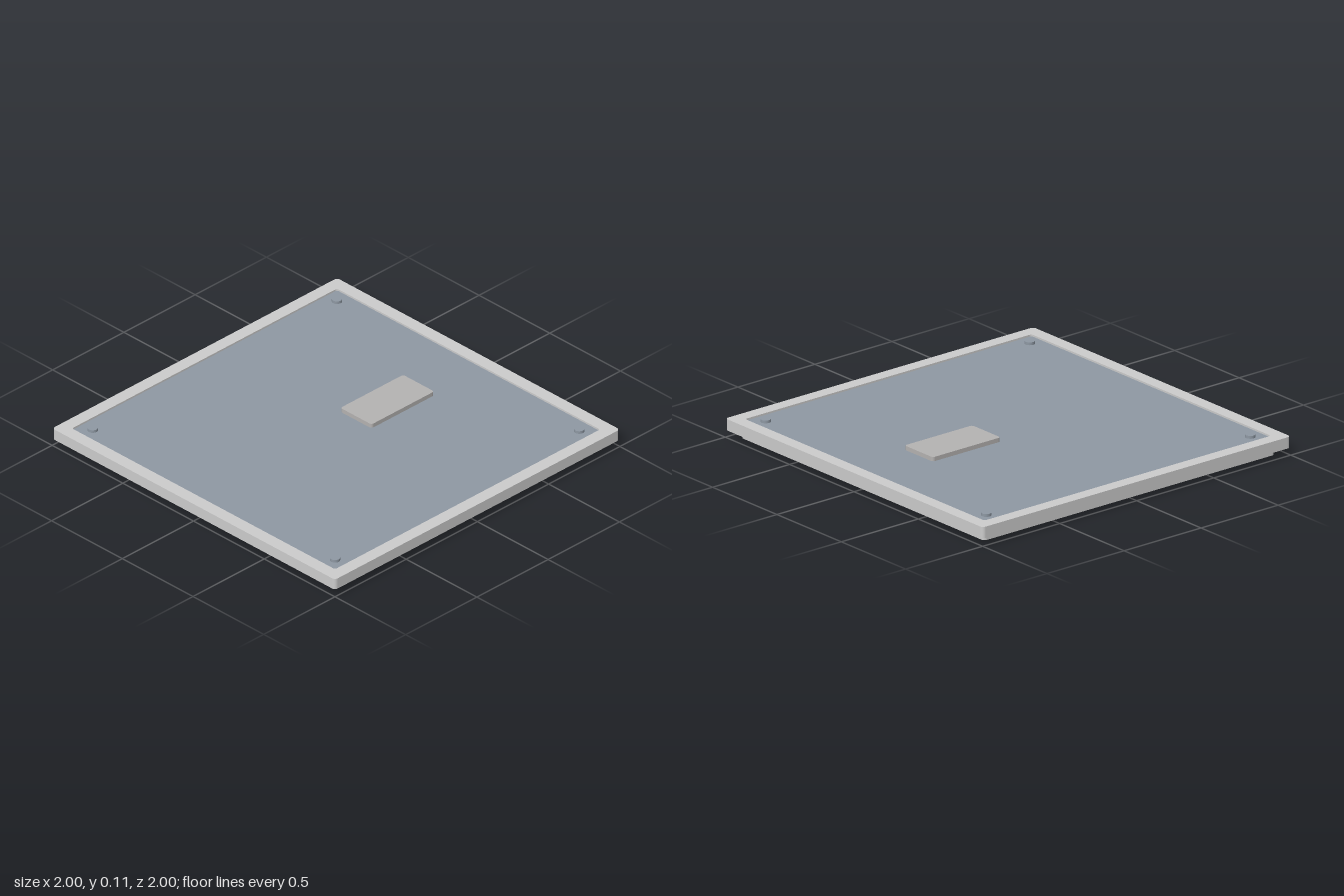
import * as THREE from 'three';

// Rounded rectangle outline centred on (cx, cy)
function roundedRect(target, w, d, r, cx = 0, cy = 0) {
  const x = w / 2 - r, y = d / 2 - r;
  target.absarc(cx + x, cy + y, r, 0, Math.PI / 2);
  target.absarc(cx - x, cy + y, r, Math.PI / 2, Math.PI);
  target.absarc(cx - x, cy - y, r, Math.PI, Math.PI * 1.5);
  target.absarc(cx + x, cy - y, r, Math.PI * 1.5, Math.PI * 2);
  target.closePath();
  return target;
}

// Horizontal slab between two heights, with optional holes
function slab(name, shape, y0, y1, material, holes = []) {
  shape.holes.push(...holes);
  const geometry = new THREE.ExtrudeGeometry(shape, { depth: y1 - y0, bevelEnabled: false, curveSegments: 6 });
  geometry.rotateX(-Math.PI / 2);
  geometry.translate(0, y0, 0);
  const mesh = new THREE.Mesh(geometry, material);
  mesh.name = name;
  return mesh;
}

const rect = (w, d, r, cx, cy) => roundedRect(new THREE.Shape(), w, d, r, cx, cy);
const hole = (w, d, r, cx, cy) => roundedRect(new THREE.Path(), w, d, r, cx, cy);

export function createModel() {
  const group = new THREE.Group();
  const bodyMat = new THREE.MeshStandardMaterial({ color: 0xc8cccb });
  const panelMat = new THREE.MeshStandardMaterial({ color: 0x8e98a3 });
  const plateMat = new THREE.MeshStandardMaterial({ color: 0xb4b2b1 });

  // 4 x 4 grid of pockets on the underside
  const base = 1.89, rib = 0.04, pitch = (base - rib) / 4, cell = pitch - rib;
  const pockets = () => {
    const list = [];
    for (let i = 0; i < 4; i++)
      for (let j = 0; j < 4; j++)
        list.push(hole(cell, cell, 0.015, (i - 1.5) * pitch, (j - 1.5) * pitch));
    return list;
  };

  // Ribbed underframe, then the wider tray above it
  group.add(slab('ribbedUnderframe', rect(base, base, 0.02), 0, 0.04, bodyMat, pockets()));
  group.add(slab('trayLower', rect(2, 2, 0.02), 0.04, 0.065, bodyMat, pockets()));
  group.add(slab('trayFloor', rect(2, 2, 0.02), 0.065, 0.085, bodyMat));
  group.add(slab('trayRim', rect(2, 2, 0.02), 0.085, 0.1, bodyMat, [hole(1.86, 1.86, 0.015)]));

  // Recessed top panel and raised plate
  group.add(slab('topPanel', rect(1.86, 1.86, 0.015), 0.085, 0.09, panelMat));
  group.add(slab('raisedPlate', rect(0.44, 0.22, 0.015, 0.36, 0), 0.09, 0.113, plateMat));

  // Corner studs
  const studGeo = new THREE.CylinderGeometry(0.026, 0.026, 0.015, 24);
  for (const x of [-0.857, 0.857])
    for (const z of [-0.857, 0.857]) {
      const stud = new THREE.Mesh(studGeo, panelMat);
      stud.name = 'cornerStud';
      stud.position.set(x, 0.0975, z);
      group.add(stud);
    }
  return group;
}
